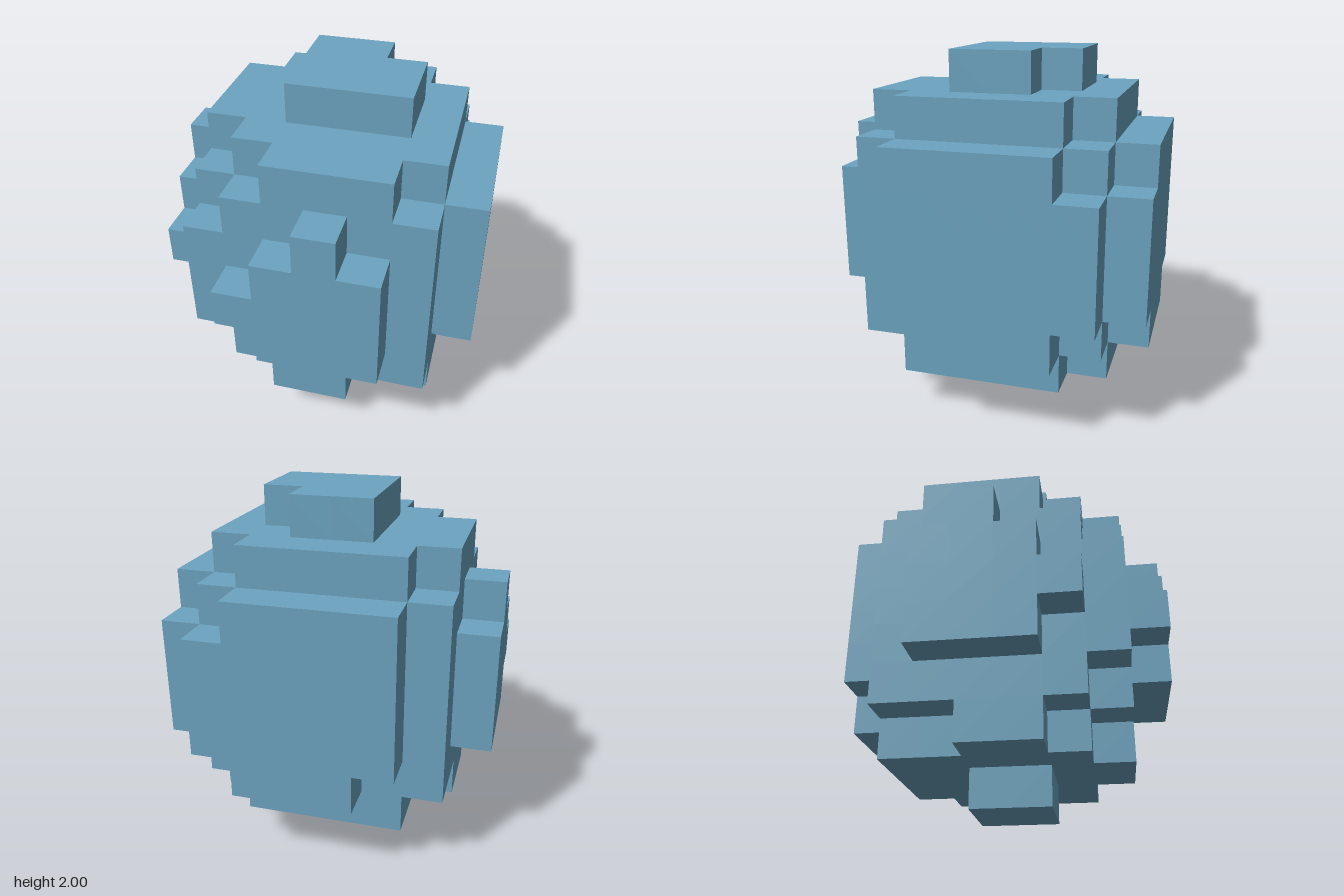
import * as THREE from 'three';

const UNIT = 2 / 9; // edge of one block

// Each part is a few block ranges: [x0, x1, y0, y1, z0, z1] in block units
const PARTS = {
  core: [[-3, 3, 2, 7, -3, 2], [-3, 3, 3, 6, 2, 3], [-2, 3, 2, 7, 2, 3]],
  upperTier: [[-2, 2, 7, 8, -3, -2], [-3, 3, 7, 8, -2, 1], [-2, 3, 7, 8, 1, 2], [-1, 2, 7, 8, 2, 3]],
  lowerTier: [[-2, 2, 1, 2, -3, -2], [-2, 3, 1, 2, -2, -1], [-3, 3, 1, 2, -1, 1], [-2, 3, 1, 2, 1, 2], [-1, 1, 1, 2, 2, 3]],
  topCap: [[-1, 1, 8, 9, -2, -1], [-1, 2, 8, 9, -1, 1]],
  foot: [[-1, 1, 0, 1, -1, 1]],
  frontPlate: [[-1, 2, 3, 6, 3, 4], [-2, -1, 4, 5, 3, 4], [0, 1, 6, 7, 3, 4]],
  backPlate: [[-1, 2, 2, 7, -4, -3], [-2, -1, 3, 7, -4, -3], [2, 3, 3, 6, -4, -3]],
  leftPlate: [[3, 4, 2, 7, -2, 1], [3, 4, 3, 7, 1, 2], [3, 4, 3, 6, -3, -2]],
  rightPlate: [[-4, -3, 3, 6, -2, 1], [-4, -3, 4, 5, 1, 2], [-4, -3, 6, 7, -1, 0]],
};

// All unit cells covered by a part's ranges
function cellsOf(ranges) {
  const cells = new Map();
  for (const [x0, x1, y0, y1, z0, z1] of ranges)
    for (let x = x0; x < x1; x++)
      for (let y = y0; y < y1; y++)
        for (let z = z0; z < z1; z++) cells.set([x, y, z].join(), [x, y, z]);
  return cells;
}

// Outer faces only: skip any face that touches another block
function shellGeometry(cells, filled) {
  const positions = [], normals = [];
  for (const cell of cells.values()) {
    for (let axis = 0; axis < 3; axis++) {
      for (const side of [-1, 1]) {
        const neighbour = [...cell];
        neighbour[axis] += side;
        if (filled.has(neighbour.join())) continue;
        const u = (axis + 1) % 3, v = (axis + 2) % 3;
        const normal = [0, 0, 0];
        normal[axis] = side;
        const corners = [[0, 0], [1, 0], [1, 1], [0, 1]].map(([a, b]) => {
          const p = [...cell];
          if (side > 0) p[axis] += 1;
          p[u] += a;
          p[v] += b;
          return p.map((c) => c * UNIT);
        });
        const order = side > 0 ? [0, 1, 2, 0, 2, 3] : [0, 2, 1, 0, 3, 2];
        for (const i of order) {
          positions.push(...corners[i]);
          normals.push(...normal);
        }
      }
    }
  }
  const geometry = new THREE.BufferGeometry();
  geometry.setAttribute('position', new THREE.Float32BufferAttribute(positions, 3));
  geometry.setAttribute('normal', new THREE.Float32BufferAttribute(normals, 3));
  return geometry;
}

export function createModel() {
  const group = new THREE.Group();
  group.name = 'blockBoulder';
  const blue = new THREE.MeshStandardMaterial({ color: 0x6ca4c0 });
  blue.name = 'blue';

  const filled = cellsOf(Object.values(PARTS).flat());
  for (const [name, ranges] of Object.entries(PARTS)) {
    const mesh = new THREE.Mesh(shellGeometry(cellsOf(ranges), filled), blue);
    mesh.name = name;
    group.add(mesh);
  }
  return group;
}
